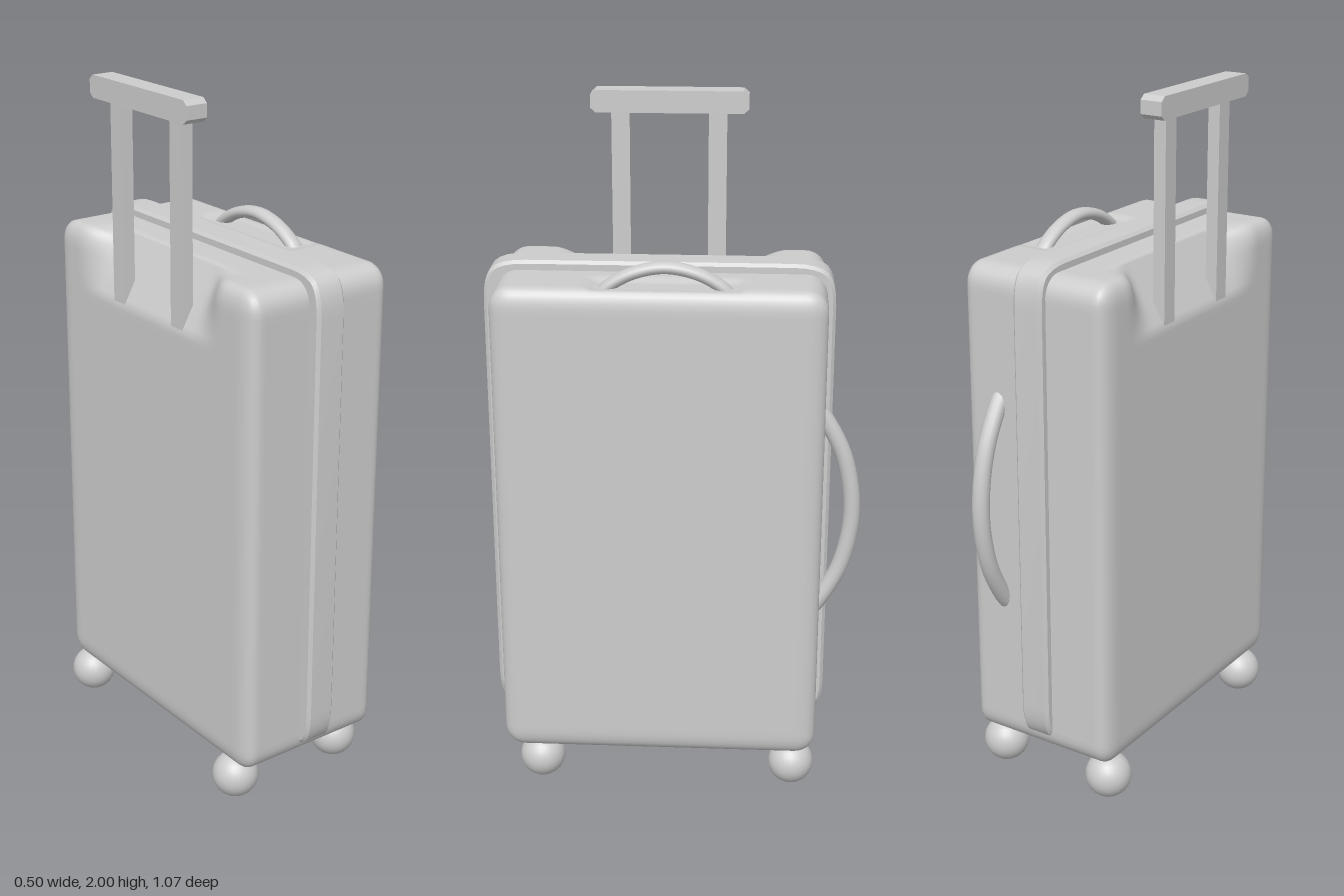
import * as THREE from 'three';
import { mergeVertices, toCreasedNormals } from 'three/addons/utils/BufferGeometryUtils.js';

const shellGrey = new THREE.MeshStandardMaterial({ color: 0xcccccc });
shellGrey.name = 'shellGrey';

function add(group, name, geometry, x = 0, y = 0, z = 0) {
  const mesh = new THREE.Mesh(geometry, shellGrey);
  mesh.name = name;
  mesh.position.set(x, y, z);
  group.add(mesh);
  return mesh;
}

// Rounded rectangle in the side plane (u = -z, v = y)
function roundedRect(u0, u1, v0, v1, r) {
  const s = new THREE.Shape();
  s.moveTo(u0 + r, v0).lineTo(u1 - r, v0);
  s.quadraticCurveTo(u1 - r * 0.42, v0, u1 - r * 0.2, v0 + r * 0.2);
  s.quadraticCurveTo(u1, v0 + r * 0.42, u1, v0 + r).lineTo(u1, v1 - r);
  s.quadraticCurveTo(u1, v1 - r * 0.42, u1 - r * 0.2, v1 - r * 0.2);
  s.quadraticCurveTo(u1 - r * 0.42, v1, u1 - r, v1).lineTo(u0 + r, v1);
  s.quadraticCurveTo(u0 + r * 0.42, v1, u0 + r * 0.2, v1 - r * 0.2);
  s.quadraticCurveTo(u0, v1 - r * 0.42, u0, v1 - r).lineTo(u0, v0 + r);
  s.quadraticCurveTo(u0, v0 + r * 0.42, u0 + r * 0.2, v0 + r * 0.2);
  s.quadraticCurveTo(u0 + r * 0.42, v0, u0 + r, v0);
  return s;
}

// Extrudes a side-plane shape across x
function extrudeAcross(shape, x0, x1, bevel) {
  const g = new THREE.ExtrudeGeometry(shape, {
    depth: x1 - x0 - 2 * bevel, curveSegments: 4, bevelEnabled: bevel > 0,
    bevelSize: bevel, bevelThickness: bevel, bevelOffset: -bevel, bevelSegments: 1,
  });
  g.rotateY(Math.PI / 2).translate(x0 + bevel, 0, 0);
  return toCreasedNormals(g, 0.5);
}

// Soft case with a sloped recess for the pull handle and a shallow dip on top
function bodyGeometry() {
  const half = new THREE.Vector3(0.235, 0.7125, 0.46);
  const radius = new THREE.Vector3(0.035, 0.06, 0.06);
  const inner = half.clone().sub(radius);
  let g = new THREE.BoxGeometry(2 * half.x, 2 * half.y, 2 * half.z, 40, 80, 60);
  g.deleteAttribute('normal');
  g.deleteAttribute('uv');
  g = mergeVertices(g, 1e-5);
  const pos = g.attributes.position;
  const p = new THREE.Vector3(), core = new THREE.Vector3();
  const slope = new THREE.Vector3(-0.874, 0.486, 0);
  const limit = slope.dot(new THREE.Vector3(-0.125, 1.545, 0));
  for (let i = 0; i < pos.count; i++) {
    // round the edges
    p.fromBufferAttribute(pos, i);
    core.copy(p).clamp(inner.clone().negate(), inner);
    p.sub(core).divide(radius).normalize().multiply(radius).add(core);
    p.add(new THREE.Vector3(0.01, 0.8325, 0.04));
    // sloped recess behind the pull handle
    const w = 1 - THREE.MathUtils.smoothstep(Math.abs(p.z - 0.03), 0.2, 0.34);
    const over = slope.dot(p) - limit;
    if (over > 0) p.addScaledVector(slope, -over * w);
    // shallow dip below the top handle
    if (p.y > 1.5 && p.x > 0.1) {
      const dx = 1 - THREE.MathUtils.smoothstep(Math.abs(p.x - 0.165), 0.04, 0.06);
      const dz = 1 - THREE.MathUtils.smoothstep(Math.abs(p.z - 0.0225), 0.19, 0.22);
      p.y -= 0.01 * dx * dz;
    }
    pos.setXYZ(i, p.x, p.y, p.z);
  }
  g.computeVertexNormals();
  return g;
}

// Bowed carrying handle through points [y, z]
function gripGeometry(points, radius, widen) {
  const path = new THREE.CatmullRomCurve3(points.map(([y, z]) => new THREE.Vector3(0, y, z)));
  return new THREE.TubeGeometry(path, 28, radius, 14).scale(widen, 1, 1);
}

export function createModel() {
  const model = new THREE.Group();
  model.name = 'suitcase';

  add(model, 'body', bodyGeometry());

  // Raised band around the case
  const band = roundedRect(-0.54, 0.445, 0.15, 1.572, 0.12);
  band.holes.push(roundedRect(-0.45, 0.37, 0.21, 1.49, 0.08));
  add(model, 'band', extrudeAcross(band, -0.037, 0.055, 0.009));

  // Carrying handles
  add(model, 'topHandle', gripGeometry([[1.51, 0.205], [1.54, 0.175], [1.575, 0.11], [1.592, 0.0225],
    [1.575, -0.065], [1.54, -0.13], [1.51, -0.16]], 0.0175, 1.35), 0.168);
  add(model, 'sideHandle', gripGeometry([[1.2, -0.385], [1.155, -0.42], [1.036, -0.48], [0.87, -0.507],
    [0.704, -0.48], [0.585, -0.42], [0.54, -0.385]], 0.024, 1.05), 0.13);

  // Telescopic pull handle
  const pull = new THREE.Group();
  pull.name = 'pullHandle';
  model.add(pull);
  const grip = new THREE.Shape();
  [[-0.24, 1.937], [0.177, 1.937], [0.192, 1.95], [0.192, 1.987], [0.177, 2], [-0.24, 2],
    [-0.255, 1.987], [-0.255, 1.95]].forEach(([u, v], i) => (i ? grip.lineTo(u, v) : grip.moveTo(u, v)));
  add(pull, 'grip', extrudeAcross(grip, -0.248, -0.184, 0));
  for (const z of [0.17, -0.105]) {
    add(pull, 'post', new THREE.BoxGeometry(0.036, 0.62, 0.052), -0.205, 1.64, z);
  }

  // Ball wheels
  const ball = new THREE.SphereGeometry(0.067, 24, 16);
  for (const x of [-0.185, 0.181]) {
    for (const z of [0.395, -0.352]) add(model, 'wheel', ball, x, 0.067, z);
  }
  return model;
}
